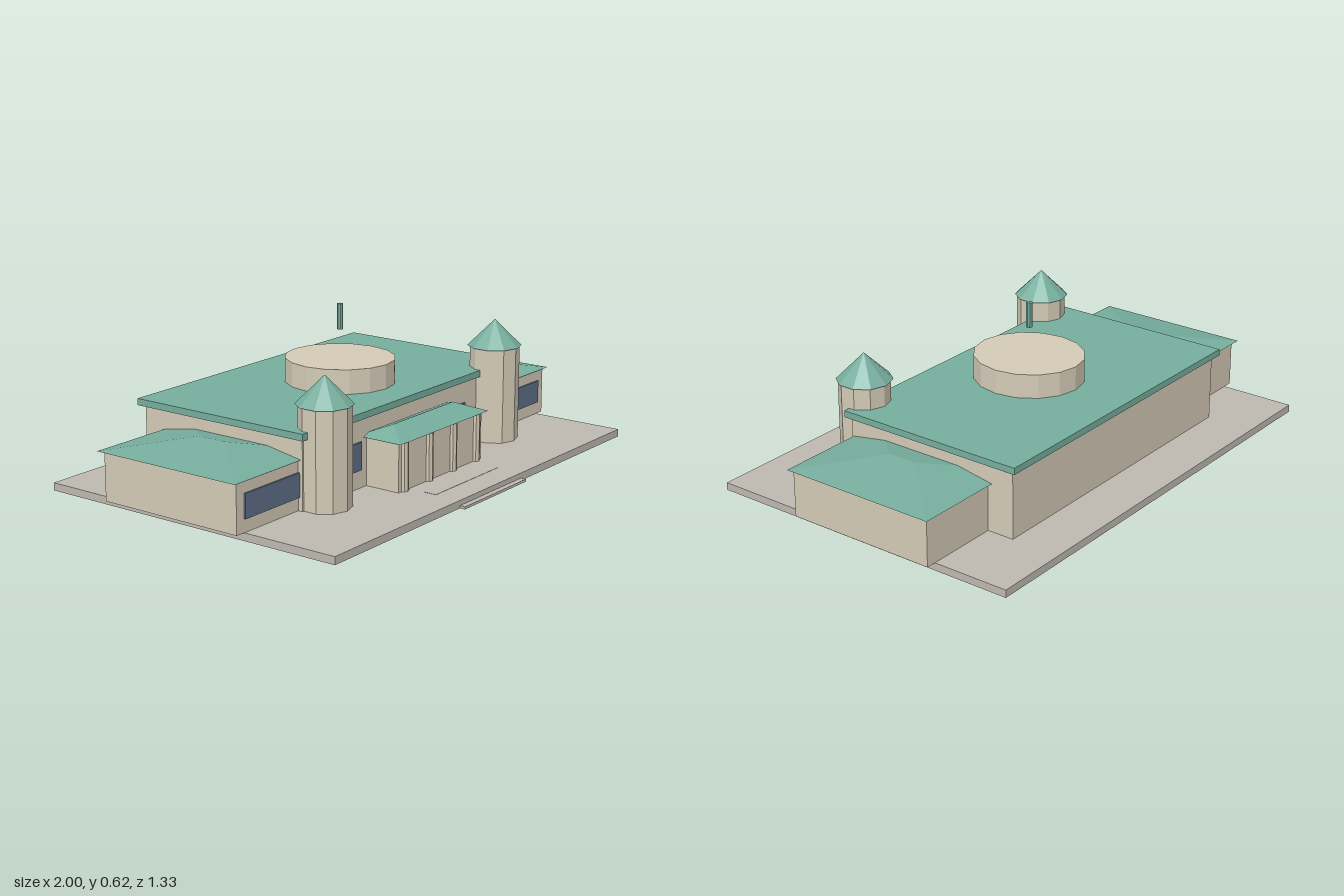
import * as THREE from 'three';

const mat = (color) => new THREE.MeshStandardMaterial({ color, flatShading: true });

export function createModel() {
  const model = new THREE.Group();
  const wall = mat(0xd3cab6);
  const roof = mat(0x76ad9d);
  const stone = mat(0xbdb8b0);
  const glass = mat(0x5f6f88);

  function add(name, geometry, material, x = 0, y = 0, z = 0) {
    const mesh = new THREE.Mesh(geometry, material);
    mesh.name = name;
    mesh.position.set(x, y, z);
    model.add(mesh);
    return mesh;
  }

  // Box given by its limits along each axis
  function box(name, material, [x0, x1], [y0, y1], [z0, z1]) {
    return add(name, new THREE.BoxGeometry(x1 - x0, y1 - y0, z1 - z0), material,
      (x0 + x1) / 2, (y0 + y1) / 2, (z0 + z1) / 2);
  }

  // Hip roof: a box whose top is squeezed to a ridge of size rx by rz
  function hipRoof(name, w, h, d, rx, rz, x, y, z) {
    const g = new THREE.BoxGeometry(w, h, d);
    const p = g.attributes.position;
    for (let i = 0; i < p.count; i++) {
      if (p.getY(i) > 0) {
        p.setX(i, Math.sign(p.getX(i)) * rx / 2);
        p.setZ(i, Math.sign(p.getZ(i)) * rz / 2);
      }
    }
    g.computeVertexNormals();
    return add(name, g, roof, x, y + h / 2, z);
  }

  // Terrace and entrance steps
  box('terrace', stone, [-0.94, 0.94], [0, 0.03], [-0.667, 0.645]);
  box('lowerStep', stone, [-0.205, 0.205], [0, 0.01], [0.6, 0.667]);
  box('upperStep', stone, [-0.205, 0.205], [0.02, 0.031], [0.49, 0.54]);

  // Main hall with its flat roof
  box('mainHall', wall, [-0.645, 0.645], [0.03, 0.296], [-0.47, 0.274]);
  box('mainRoof', roof, [-0.665, 0.665], [0.296, 0.322], [-0.492, 0.292]);

  // Drum and finial over the hall
  const drum = add('drum', new THREE.CylinderGeometry(0.218, 0.218, 0.095, 16), wall, 0, 0.369, -0.054);
  drum.scale.x = 0.95;
  add('finial', new THREE.CylinderGeometry(0.012, 0.012, 0.1, 8), roof, 0, 0.574, -0.054);

  // Wings, towers and windows on both sides
  for (const s of [-1, 1]) {
    const span = (a, b) => (s > 0 ? [a, b] : [-b, -a]);
    box('wing', wall, span(0.52, 0.98), [0.03, 0.22], [-0.36, 0.255]);
    hipRoof('wingRoof', 0.5, 0.045, 0.645, 0.001, 0.12, s * 0.75, 0.219, -0.055);
    box('wingWindow', glass, span(0.56, 0.94), [0.08, 0.172], [0.25, 0.262]);
    box('hallWindow', glass, span(0.305, 0.37), [0.1, 0.207], [0.27, 0.281]);
    add('tower', new THREE.CylinderGeometry(0.098, 0.098, 0.38, 10), wall, s * 0.545, 0.22, 0.298);
    add('towerRoof', new THREE.ConeGeometry(0.107, 0.105, 10), roof, s * 0.545, 0.46, 0.296);
  }

  // Entrance porch with four columns
  box('porch', wall, [-0.27, 0.27], [0.03, 0.22], [0.26, 0.42]);
  hipRoof('porchRoof', 0.574, 0.04, 0.2, 0.385, 0.001, 0, 0.219, 0.34);
  for (let i = 0; i < 4; i++) {
    add('porchColumn', new THREE.CylinderGeometry(0.02, 0.02, 0.19, 8), wall, -0.234 + i * 0.156, 0.125, 0.416);
  }

  return model;
}
